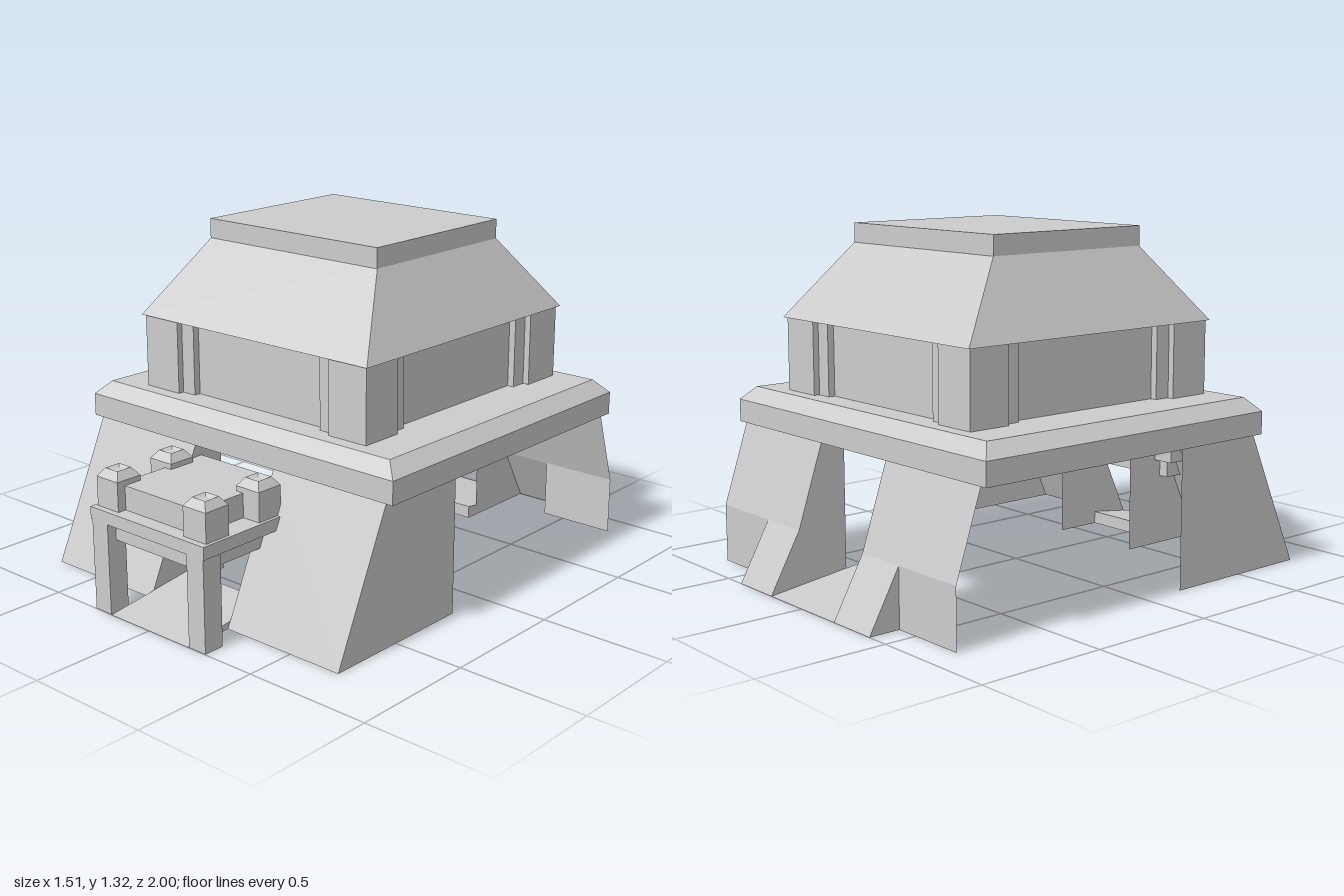
import * as THREE from 'three';

const stone = new THREE.MeshStandardMaterial({ color: 0xcccccc, side: THREE.DoubleSide });
stone.name = 'stone grey';

export function createModel() {
  const model = new THREE.Group();

  const add = (name, geometry) => {
    const flat = geometry.index ? geometry.toNonIndexed() : geometry;
    flat.computeVertexNormals();
    const mesh = new THREE.Mesh(flat, stone);
    mesh.name = name;
    model.add(mesh);
    return mesh;
  };

  // Box given by its limits; the top may be drawn in to make a frustum
  const block = (name, [x0, x1], [y0, y1], [z0, z1], insetX = 0, insetZ = 0) => {
    const g = new THREE.BoxGeometry(x1 - x0, y1 - y0, z1 - z0);
    const p = g.attributes.position;
    for (let i = 0; i < p.count; i++) {
      if (p.getY(i) < 0) continue;
      p.setX(i, p.getX(i) - Math.sign(p.getX(i)) * insetX);
      p.setZ(i, p.getZ(i) - Math.sign(p.getZ(i)) * insetZ);
    }
    g.translate((x0 + x1) / 2, (y0 + y1) / 2, (z0 + z1) / 2);
    return add(name, g);
  };

  // Flat convex panel from its corners
  const panel = (name, corners) => {
    const g = new THREE.BufferGeometry();
    const pos = [];
    for (let i = 1; i < corners.length - 1; i++) pos.push(...corners[0], ...corners[i], ...corners[i + 1]);
    g.setAttribute('position', new THREE.Float32BufferAttribute(pos, 3));
    return add(name, g);
  };

  // Panel across x following a [z, y] line
  const sheet = (name, xa, xb, line) => {
    for (let i = 0; i < line.length - 1; i++) {
      const [z0, y0] = line[i], [z1, y1] = line[i + 1];
      panel(name, [[xa, y0, z0], [xb, y0, z0], [xb, y1, z1], [xa, y1, z1]]);
    }
  };
  // Upright panel at one x
  const side = (name, x, outline) => panel(name, outline.map(([z, y]) => [x, y, z]));
  // Limits mirrored to the given side
  const span = (s, a, b) => (s > 0 ? [a, b] : [-b, -a]);

  // Roof
  block('roofCap', [-0.413, 0.413], [1.245, 1.32], [-0.457, 0.25]);
  block('roofSlope', [-0.563, 0.563], [0.962, 1.245], [-0.69, 0.48], 0.15, 0.232);

  // Upper storey: recessed walls, stepped pilasters, corner blocks
  const midZ = -0.104;
  block('upperWalls', [-0.5, 0.5], [0.68, 0.962], [midZ - 0.522, midZ + 0.522]);
  for (const s of [1, -1]) {
    for (const t of [1, -1]) {
      const zSpan = (a, b) => span(t, a, b).map((z) => z + midZ);
      block('cornerPilaster', span(s, 0.318, 0.527), [0.68, 0.962], zSpan(0.338, 0.549));
      block('cornerBlock', span(s, 0.38, 0.552), [0.68, 0.962], zSpan(0.402, 0.573));
    }
  }

  // Terrace slab with bevelled rim
  block('terraceSlab', [-0.755, 0.755], [0.54, 0.628], [-0.777, 0.57]);
  block('terraceBevel', [-0.755, 0.755], [0.628, 0.68], [-0.777, 0.57], 0.053, 0.047);

  // Sloping base walls on both sides of the passages
  for (const s of [1, -1]) {
    sheet('frontSlope', s * 0.2, s * 0.72, [[0.56, 0.54], [0.805, 0]]);
    side('frontOuterWall', s * 0.72, [[0.56, 0.54], [0.805, 0], [0.175, 0], [0.175, 0.54]]);
    side('frontPassageWall', s * 0.2, [[0.56, 0.54], [0.805, 0], [0.43, 0], [0.43, 0.54]]);

    sheet('backSlope', s * 0.41, s * 0.72, [[-0.77, 0.54], [-0.875, 0.225], [-0.875, 0]]);
    sheet('backButtress', s * 0.2, s * 0.41, [[-0.77, 0.54], [-0.875, 0.225], [-1, 0]]);
    side('buttressSide', s * 0.41, [[-0.875, 0.225], [-1, 0], [-0.875, 0]]);
    side('backPassageWall', s * 0.2, [[-0.67, 0.54], [-0.77, 0.54], [-0.875, 0.225], [-0.67, 0]]);
    side('backPassageWall', s * 0.2, [[-0.875, 0.225], [-1, 0], [-0.67, 0]]);
  }

  // Entrance ramps
  for (const t of [1, -1]) {
    sheet('ramp', -0.2, 0.2, [[t, 0], [t * 0.62, 0.05], [t * 0.62, 0], [t, 0]]);
    for (const s of [1, -1]) side('rampSide', s * 0.2, [[t, 0], [t * 0.62, 0.05], [t * 0.62, 0]]);
  }

  // Front porch
  block('porchBeam', [-0.24, 0.24], [0.28, 0.35], [0.6, 0.96]);
  block('porchPlatform', [-0.29, 0.29], [0.35, 0.398], [0.57, 1]);
  block('porchRoof', [-0.2, 0.2], [0.398, 0.49], [0.53, 0.94]);
  for (const s of [1, -1]) {
    block('porchLeg', span(s, 0.203, 0.284), [0, 0.35], [0.915, 0.998]);
    for (const z of [0.92, 0.662]) {
      block('porchPost', span(s, 0.167, 0.277), [0.398, 0.51], [z - 0.055, z + 0.055]);
      // Four-sided cap with a small hollow on top
      const rim = [[0.055, 0.51], [0.032, 0.541], [0.017, 0.532], [0, 0.532]];
      const cap = new THREE.LatheGeometry(rim.map(([r, y]) => new THREE.Vector2(r * Math.SQRT2, y)), 4);
      cap.rotateY(Math.PI / 4).translate(s * 0.222, 0, z);
      add('postCap', cap);
    }
  }
  return model;
}
